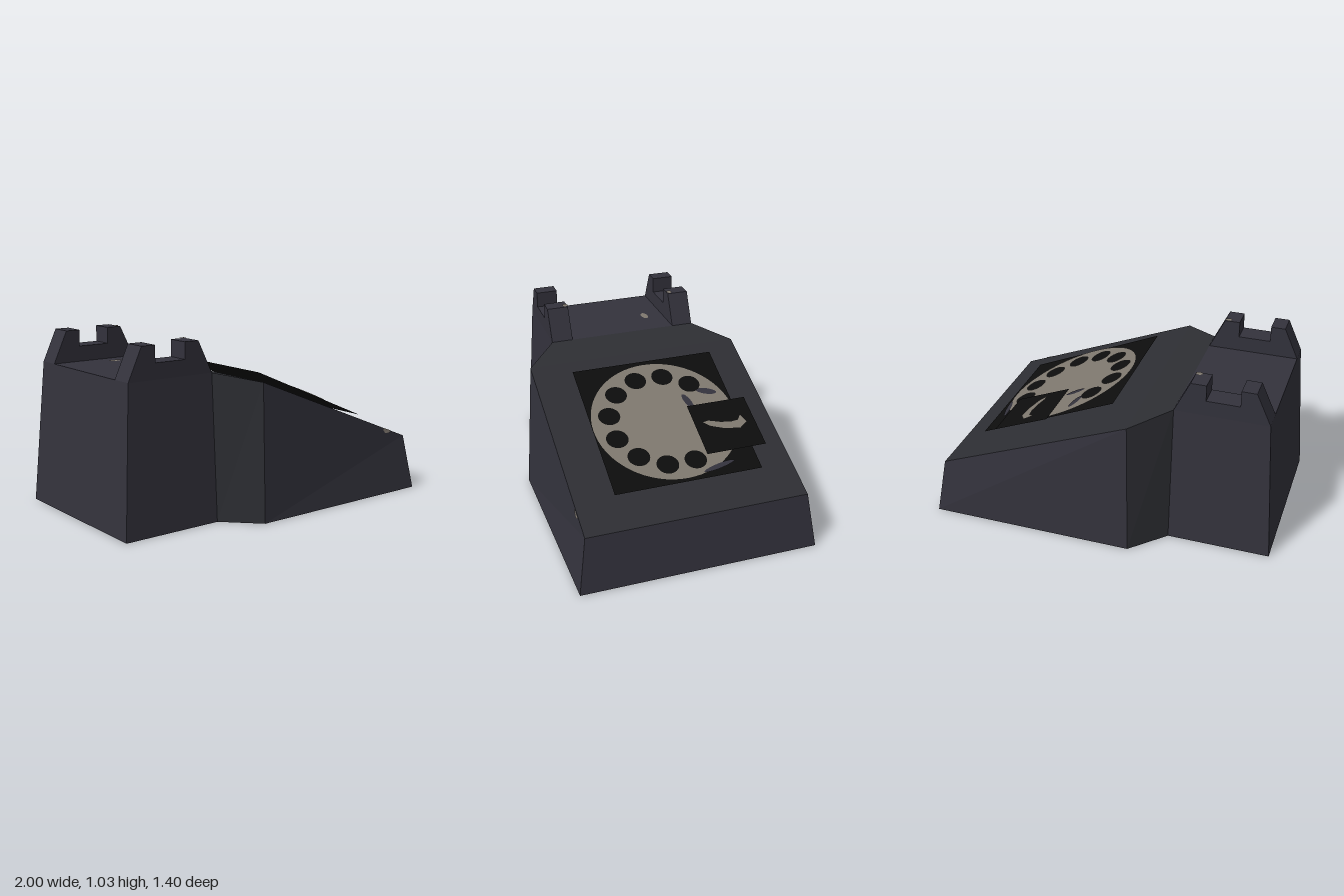
import * as THREE from 'three';

const mat = (name, color, side = THREE.FrontSide) => {
  const m = new THREE.MeshStandardMaterial({ color, side });
  m.name = name;
  return m;
};

export function createModel() {
  const group = new THREE.Group();
  const shell = mat('slate shell', 0x33323c, THREE.DoubleSide);
  const slope = mat('dark slate', 0x2d2e33);
  const black = mat('black', 0x0d0d0d, THREE.DoubleSide);
  const tan = mat('dusty tan', 0x7f786f, THREE.DoubleSide);

  const add = (name, geometry, material) => {
    const mesh = new THREE.Mesh(geometry, material);
    mesh.name = name;
    group.add(mesh);
    return mesh;
  };

  // Flat-shaded faces from lists of corners
  const faces = (list) => {
    const p = [];
    for (const f of list)
      for (let i = 1; i < f.length - 1; i++) p.push(...f[0], ...f[i], ...f[i + 1]);
    const g = new THREE.BufferGeometry();
    g.setAttribute('position', new THREE.Float32BufferAttribute(p, 3));
    g.computeVertexNormals();
    return g;
  };

  // Housing: bottom and top outlines of the near half, mirrored in z
  const low = [[-1, 0, 0.51], [-0.4, 0, 0.51], [-0.21, 0, 0.7], [1, 0, 0.7]];
  const high = [[-0.94, 0.84, 0.46], [-0.4, 0.84, 0.46], [-0.19, 0.79, 0.65], [0.95, 0.33, 0.65]];
  const flip = ([x, y, z]) => [x, y, -z];
  const ring = (half) => [...half, ...half.map(flip).reverse()];
  const b = ring(low), t = ring(high);
  const main = [], dark = [];
  for (let i = 0; i < 8; i++) {
    const j = (i + 1) % 8;
    (i === 1 || i === 5 ? dark : main).push([b[i], b[j], t[j], t[i]]);
  }
  for (let i = 0; i < 3; i++) {
    (i ? dark : main).push([high[i], high[i + 1], flip(high[i + 1]), flip(high[i])]);
    main.push([low[i], flip(low[i]), flip(low[i + 1]), low[i + 1]]);
  }
  add('housing', faces(main), shell);
  add('slopedTop', faces(dark), slope);

  // Two notched cradle rests
  const notch = new THREE.Shape([
    [-0.94, 0.84], [-0.4, 0.84], [-0.49, 1.025], [-0.58, 1.025],
    [-0.58, 0.93], [-0.77, 0.93], [-0.77, 1.025], [-0.855, 1.025],
  ].map(([x, y]) => new THREE.Vector2(x, y)));
  for (const z of [0.33, -0.46]) {
    const g = new THREE.ExtrudeGeometry(notch, { depth: 0.13, bevelEnabled: false });
    add('cradleRest', g.translate(0, 0, z), shell);
  }

  // Lays a plan shape, drawn in x and -z, onto a surface of height h(x)
  const lay = (name, shape, h, material) => {
    const g = new THREE.ShapeGeometry(shape, 32);
    const p = g.attributes.position;
    for (let i = 0; i < p.count; i++) {
      const x = p.getX(i), y = p.getY(i);
      p.setXYZ(i, x, h(x), -y);
    }
    g.computeVertexNormals();
    return add(name, g, material);
  };
  const plan = (pts) => new THREE.Shape(pts.map(([x, z]) => new THREE.Vector2(x, -z)));
  const rect = (x0, x1, z0, z1) => plan([[x0, z1], [x1, z1], [x1, z0], [x0, z0]]);
  const oval = (x, z, rx, rz, turn = 0) =>
    new THREE.Shape().absellipse(x, -z, rx, rz, 0, Math.PI * 2, false, turn);

  // Dial plate hovering over the slope
  const dialY = (lift) => (x) => 0.783 - 0.43 * x + lift;
  lay('dialPlate', rect(-0.04, 0.78, -0.44, 0.43), dialY(0), black);

  // Finger wheel with nine open holes
  const wheel = oval(0.377, 0, 0.388, 0.428);
  for (let i = 0; i < 12; i++) {
    if (i >= 1 && i <= 3) continue;
    const a = ((i + 0.5) * Math.PI) / 6;
    const hole = new THREE.Path();
    hole.absellipse(0.377 + 0.295 * Math.cos(a), 0.322 * Math.sin(a), 0.057, 0.064, 0, Math.PI * 2, true);
    wheel.holes.push(hole);
  }
  lay('fingerWheel', wheel, dialY(0.005), tan);

  // Worn marks on the wheel
  for (const [x, z, rx, rz, turn] of [
    [0.24, -0.31, 0.02, 0.06, -0.3], [0.29, -0.175, 0.055, 0.02, 0.3], [0.73, -0.2, 0.015, 0.1, 0.2],
  ]) lay('wheelMark', oval(x, z, rx, rz, turn), dialY(0.009), shell);

  // Finger stop plate and its curved hook
  const stopY = (lift) => (x) => 0.804 - 0.41 * x + lift;
  lay('stopPlate', rect(0.34, 0.67, -0.51, -0.15), stopY(0), black);
  lay('stopHook', plan([
    [0.468, -0.2], [0.5, -0.235], [0.532, -0.316], [0.543, -0.406], [0.51, -0.455], [0.46, -0.435],
    [0.49, -0.41], [0.495, -0.36], [0.484, -0.3], [0.463, -0.235],
  ]), stopY(0.005), tan);

  // Small chips in the finish
  lay('deckChip', oval(-0.603, -0.21, 0.042, 0.021), () => 0.844, tan);
  for (const z of [-0.347, 0.343]) lay('restChip', oval(-0.51, z, 0.02, 0.016), () => 1.029, tan);
  add('edgeChip', faces([[
    [0.77, 0.385, 0.654], [0.785, 0.368, 0.657], [0.82, 0.368, 0.657], [0.83, 0.38, 0.654], [0.77, 0.402, 0.653],
  ]]), tan);

  return group;
}
